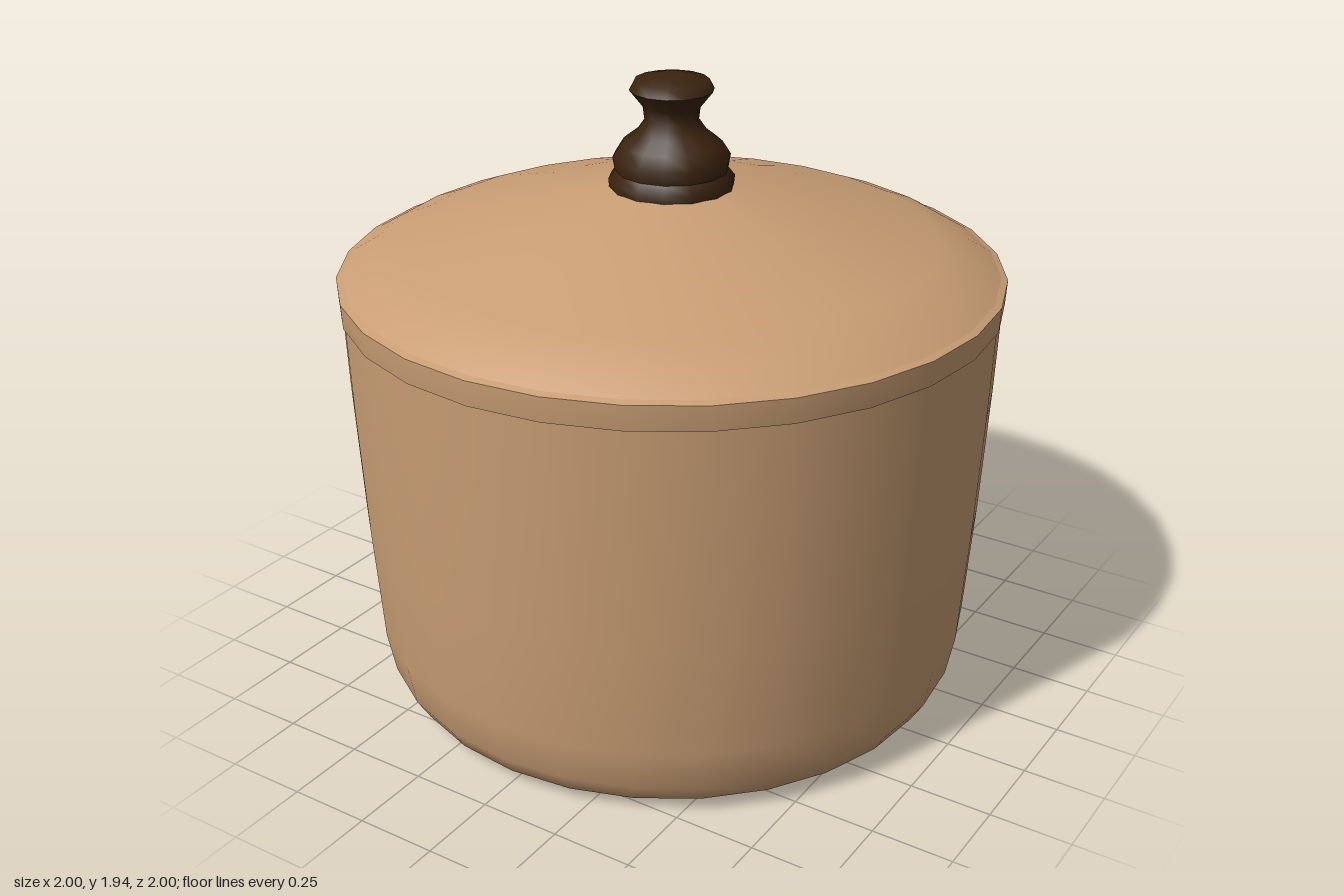
import * as THREE from 'three';

const clay = new THREE.MeshStandardMaterial({ color: 0xc99e74 });
clay.name = 'tan enamel';
const wood = new THREE.MeshStandardMaterial({ color: 0x3a230e });
wood.name = 'dark wood';

// Turned part; the profile runs from bottom to top as [radius, height]
function turned(name, profile, sides, material) {
  const points = profile.map(([r, y]) => new THREE.Vector2(r, y));
  const mesh = new THREE.Mesh(new THREE.LatheGeometry(points, sides), material);
  mesh.name = name;
  return mesh;
}

export function createModel() {
  const pot = new THREE.Group();
  pot.name = 'lidded pot';

  // Vessel: flat base, rounded foot and slightly flaring wall
  pot.add(turned('potBase', [[0, 0.005], [0.79, 0.02]], 28, clay));
  pot.add(turned('potWall', [
    [0.79, 0.02], [0.87, 0.045], [0.91, 0.11], [0.935, 0.24],
    [0.96, 0.6], [0.98, 1.0], [0.99, 1.28],
  ], 28, clay));

  // Lid: band around the mouth, narrow ledge, then a shallow dome
  pot.add(turned('lidBand', [[0.99, 1.28], [0.996, 1.28], [1.0, 1.355]], 28, clay));
  pot.add(turned('lidLedge', [[1.0, 1.355], [0.98, 1.362]], 28, clay));
  pot.add(turned('lidDome', [
    [0.98, 1.362], [0.9, 1.41], [0.8, 1.45], [0.52, 1.527], [0.18, 1.612], [0, 1.62],
  ], 28, clay));

  // Turned knob: foot collar, bulb and waist, flared cap
  const knob = new THREE.Group();
  knob.name = 'knob';
  knob.add(turned('knobCollar', [[0.185, 1.605], [0.188, 1.635], [0.168, 1.66]], 14, wood));
  knob.add(turned('knobBulb', [
    [0.168, 1.66], [0.175, 1.7], [0.15, 1.74], [0.105, 1.775],
    [0.08, 1.81], [0.085, 1.85], [0.125, 1.9],
  ], 14, wood));
  knob.add(turned('knobCap', [[0.125, 1.9], [0.11, 1.928], [0.05, 1.942], [0, 1.942]], 14, wood));
  pot.add(knob);

  return pot;
}
